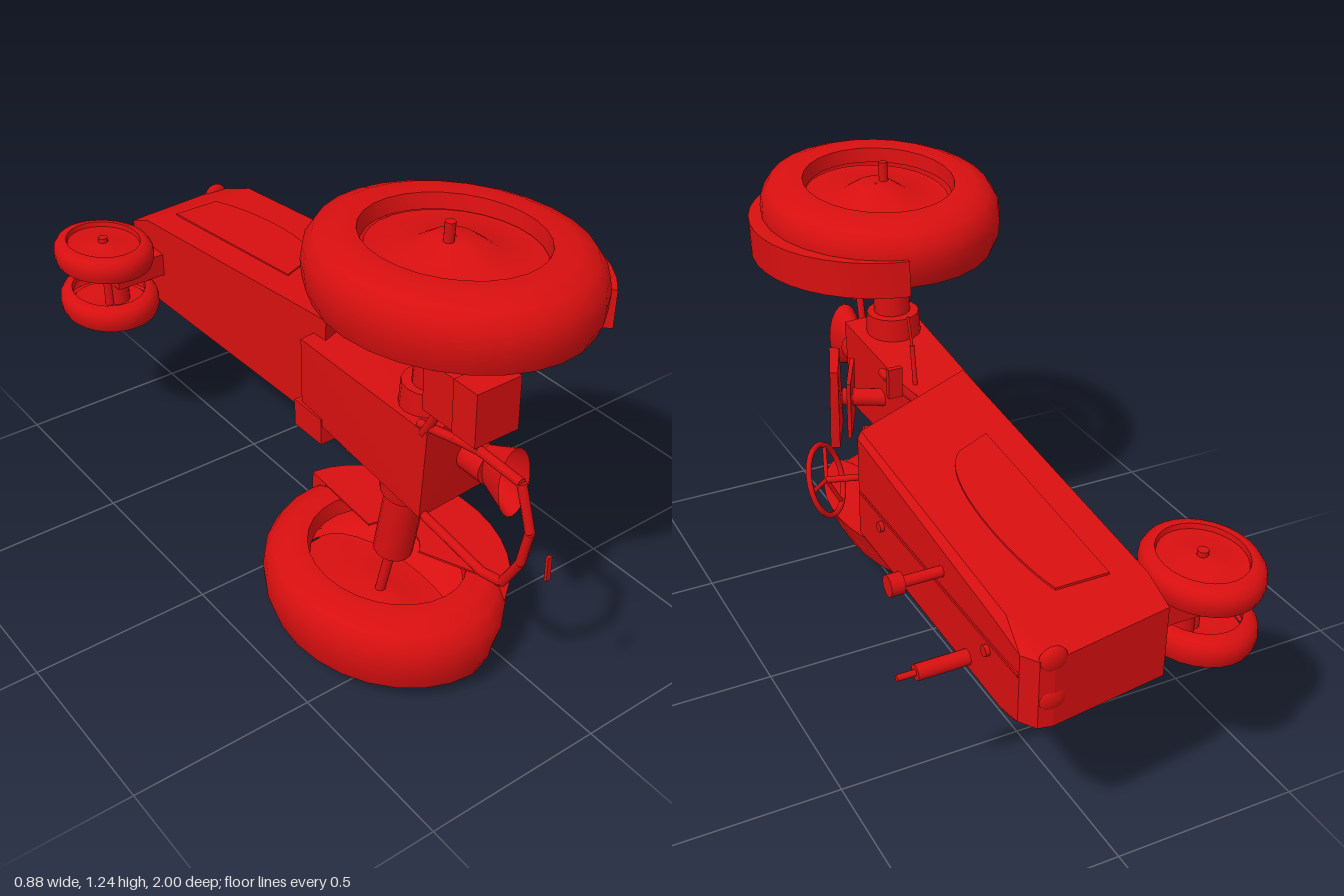
import * as THREE from 'three';
import { toCreasedNormals } from 'three/addons/utils/BufferGeometryUtils.js';
import { ConvexGeometry } from 'three/addons/geometries/ConvexGeometry.js';

const V = (x, y, z) => new THREE.Vector3(x, y, z);

export function createModel() {
  const group = new THREE.Group();
  const red = new THREE.MeshStandardMaterial({ color: 0xd80f10, side: THREE.DoubleSide });
  red.name = 'red paint';

  const add = (name, geometry) => {
    const mesh = new THREE.Mesh(geometry, red);
    mesh.name = name;
    group.add(mesh);
    return mesh;
  };
  // Box given by its lower and upper corners
  const box = (name, a, b) => add(name, new THREE.BoxGeometry(b[0] - a[0], b[1] - a[1], b[2] - a[2])
    .translate((a[0] + b[0]) / 2, (a[1] + b[1]) / 2, (a[2] + b[2]) / 2));
  // Round bar between two points
  const bar = (name, a, b, r0, r1 = r0, sides = 16) => {
    const p = V(...a), q = V(...b), d = q.clone().sub(p);
    const m = add(name, new THREE.CylinderGeometry(r1, r0, d.length(), sides));
    m.position.copy(p).add(q).multiplyScalar(0.5);
    m.quaternion.setFromUnitVectors(V(0, 1, 0), d.normalize());
    return m;
  };
  const hull = (name, pts) => add(name, new ConvexGeometry(pts.map(p => V(...p))));

  // Squeeze the lower wheel and fender on their +x side, more towards the ground
  const squash = g => {
    const p = g.attributes.position, cx = -0.135;
    for (let i = 0; i < p.count; i++) {
      const x = p.getX(i), k = (0.235 - p.getY(i)) / 0.195;
      if (x > cx) p.setX(i, cx + (x - cx) * (0.9 - 0.5 * k * k));
    }
    return g;
  };

  // Wheels: oval tyre shells, open underneath, with dished discs
  const tyre = [[0.88, -1], [0.95, -0.92], [0.99, -0.5], [1, 0], [0.985, 0.4], [0.92, 0.8], [0.8, 1]];
  const wheel = (name, c, R, w, tilt, hole, disc, lower) => {
    const build = (part, pts, dx, dz) => {
      const g = new THREE.LatheGeometry(pts.map(([r, y]) => new THREE.Vector2(r * R, y * w)), 28)
        .scale(0.84, 1, 1).rotateZ(tilt[0]).rotateX(tilt[1]).translate(c[0] + dx, c[1], c[2] + dz);
      add(name + part, toCreasedNormals(lower ? squash(g) : g, 0.8));
    };
    build('Tyre', [...tyre, [hole, 0.97], [hole - 0.02, 0.5]], 0, 0);
    build('Disc', [[disc.r, disc.y], [0.3, disc.y], [0.15, disc.hub], [0.01, disc.hub]], disc.dx, disc.dz);
  };
  wheel('upperRearWheel', [-0.073, 1.11, 0.493], 0.387, 0.086, [-0.03, -0.035], 0.63,
    { r: 0.6, y: 0.45, hub: 0.85, dx: 0.01, dz: -0.005 });
  wheel('lowerRearWheel', [-0.135, 0.137, 0.357], 0.371, 0.095, [0, 0], 0.64,
    { r: 0.77, y: -0.8, hub: -0.7, dx: 0.01, dz: -0.02 }, true);
  wheel('upperFrontWheel', [-0.288, 0.642, -0.83], 0.168, 0.037, [-0.03, -0.02], 0.74,
    { r: 0.72, y: 0.6, hub: 0.8, dx: 0, dz: 0 });
  wheel('lowerFrontWheel', [-0.288, 0.49, -0.82], 0.168, 0.037, [0.02, 0], 0.74,
    { r: 0.78, y: -0.6, hub: -0.7, dx: 0, dz: 0 });

  // Fenders: arched segments over the tyres, with a flat inner plate
  const fender = (rIn, rOut, from, to, depth) => {
    const s = new THREE.Shape();
    for (let i = 0; i <= 14; i++) {
      const t = from + (to - from) * i / 14;
      s[i ? 'lineTo' : 'moveTo'](rOut[0] * Math.cos(t), rOut[1] * Math.sin(t));
    }
    for (let i = 14; i >= 0; i--) {
      const t = from + (to - from) * i / 14;
      s.lineTo(rIn[0] * Math.cos(t), rIn[1] * Math.sin(t));
    }
    return new THREE.ExtrudeGeometry(s, { depth, bevelEnabled: false }).rotateX(-Math.PI / 2);
  };
  const upperPart = (name, rIn, rOut, from, to, y, depth) => add(name, toCreasedNormals(
    fender(rIn, rOut, from, to, depth).rotateZ(-0.03).translate(-0.07, y, 0.487), 0.7));
  const lowerPart = (name, rIn, rOut, from, to, y, depth) => add(name, toCreasedNormals(
    squash(fender(rIn, rOut, from, to, depth).translate(-0.13, y, 0.348)), 0.7));
  upperPart('upperFender', [0.31, 0.34], [0.36, 0.385], -0.85, 1.35, 1.005, 0.1);
  upperPart('upperFenderPlate', [0.08, 0.08], [0.32, 0.345], -0.85, 1.35, 1.005, 0.006);
  lowerPart('lowerFender', [0.24, 0.3], [0.31, 0.368], -1.0, 1.5, 0.13, 0.105);
  lowerPart('lowerFenderPlate', [0.09, 0.09], [0.25, 0.31], -1.0, 1.5, 0.229, 0.006);

  // Rear axle
  bar('upperAxleHousing', [-0.1, 0.72, 0.465], [-0.093, 1.02, 0.485], 0.052);
  bar('upperAxleFlange', [-0.1, 0.72, 0.465], [-0.098, 0.8, 0.465], 0.08, 0.075);
  bar('upperAxleShaft', [-0.093, 1.0, 0.486], [-0.09, 1.236, 0.5], 0.013);
  bar('lowerAxleHousing', [-0.112, 0.5, 0.41], [-0.122, 0.225, 0.36], 0.053);
  bar('lowerAxleFlange', [-0.112, 0.5, 0.41], [-0.114, 0.44, 0.4], 0.075, 0.07);
  bar('lowerAxleShaft', [-0.122, 0.24, 0.36], [-0.145, 0.003, 0.318], 0.014);

  // Gearbox body
  hull('gearbox', [
    [-0.2, 0.485, 0.555], [-0.2, 0.745, 0.575], [0.01, 0.49, 0.545], [0.01, 0.74, 0.57],
    [-0.17, 0.5, 0.02], [-0.17, 0.715, 0.02], [0.015, 0.5, 0.0], [0.015, 0.715, 0.0]]);
  box('lowerChassis', [-0.18, 0.44, 0.0], [-0.02, 0.52, 0.12]);

  // Seat: slanted pad with a backing plate, carried on a post
  hull('seatPad', [
    [0.18, 0.5, 0.29], [0.175, 0.735, 0.29], [0.1, 0.49, 0.45], [0.11, 0.73, 0.45],
    [0.155, 0.5, 0.28], [0.155, 0.735, 0.28], [0.08, 0.49, 0.435], [0.085, 0.73, 0.435]]);
  hull('seatPlate', [
    [0.135, 0.53, 0.27], [0.135, 0.7, 0.27], [0.06, 0.53, 0.42], [0.06, 0.7, 0.42],
    [0.125, 0.53, 0.265], [0.125, 0.7, 0.265], [0.05, 0.53, 0.41], [0.05, 0.7, 0.41]]);
  bar('seatPost', [0.0, 0.615, 0.3], [0.11, 0.615, 0.36], 0.025);

  // Power shaft and flared guard
  bar('powerShaft', [-0.05, 0.62, 0.55], [-0.05, 0.62, 0.64], 0.045);
  const guard = add('shaftGuard', new THREE.CylinderGeometry(0.1, 0.055, 0.095, 20, 1, true)
    .rotateX(Math.PI / 2).scale(0.5, 1, 1));
  guard.position.set(-0.05, 0.625, 0.672);

  // Hitch frame behind the gearbox
  const framePts = [[0.745, 0.53], [0.775, 0.66], [0.79, 0.74], [0.785, 0.88], [0.67, 0.917], [0.57, 0.895],
    [0.475, 0.84], [0.458, 0.77], [0.49, 0.53]];
  for (let i = 1; i < framePts.length; i++)
    bar('hitchFrame', [-0.185, ...framePts[i - 1]], [-0.185, ...framePts[i]], 0.012, 0.012, 8);
  box('hitchPin', [-0.207, 0.6, 0.992], [-0.195, 0.665, 1.0]);

  // Toolbox pair beside the upper axle
  box('toolboxRear', [-0.21, 0.81, 0.67], [-0.08, 0.955, 0.75]);
  box('toolboxFront', [-0.205, 0.81, 0.56], [-0.085, 0.95, 0.665]);
  bar('toolboxBracket', [-0.19, 0.73, 0.55], [-0.19, 0.82, 0.6], 0.012, 0.012, 8);

  // Hood: tapered body with a slanted back and softened nose
  hull('hood', [
    [-0.125, 0.445, 0.06], [-0.125, 0.778, 0.07], [0.245, 0.438, -0.088], [0.245, 0.757, -0.085],
    [0.257, 0.46, -0.09], [0.257, 0.74, -0.09],
    [-0.125, 0.422, -0.88], [-0.125, 0.682, -0.85], [0.24, 0.422, -0.88], [0.24, 0.682, -0.85],
    [0.257, 0.445, -0.86], [0.257, 0.66, -0.84],
    [-0.125, 0.455, -0.94], [-0.125, 0.645, -0.94], [0.19, 0.455, -0.982], [0.19, 0.635, -0.982],
    [0.225, 0.455, -0.975], [0.225, 0.635, -0.975], [0.255, 0.46, -0.94], [0.255, 0.64, -0.94]]);
  box('hoodRidge', [0.254, 0.583, -0.94], [0.26, 0.59, -0.1]);
  for (const y of [0.525, 0.63]) {
    const lamp = add('noseLamp', new THREE.SphereGeometry(0.04, 16, 10));
    lamp.scale.set(0.9, 0.8, 0.4);
    lamp.position.set(0.19, y, -0.97);
  }

  // Raised side panels following the taper of the hood
  const panel = new THREE.Shape();
  panel.moveTo(-0.04, -0.82);
  panel.lineTo(0.1, -0.82);
  panel.bezierCurveTo(0.14, -0.7, 0.16, -0.35, 0.06, -0.27);
  panel.lineTo(-0.04, -0.225);
  panel.closePath();
  for (const upper of [true, false]) {
    const g = new THREE.ExtrudeGeometry(panel, { depth: 0.009, bevelEnabled: false, curveSegments: 16 });
    const p = g.attributes.position;
    for (let i = 0; i < p.count; i++) {
      const z = p.getY(i), d = p.getZ(i) - 0.002;
      const t = (z - 0.07) / -0.92;
      p.setXYZ(i, p.getX(i), upper ? 0.774 - 0.093 * t + d : 0.444 - 0.023 * t - d, z);
    }
    // Keep the faces of the upper panel pointing outwards
    if (upper) for (let i = 0; i < p.count; i += 3) {
      const a = V().fromBufferAttribute(p, i), b = V().fromBufferAttribute(p, i + 2);
      p.setXYZ(i, b.x, b.y, b.z);
      p.setXYZ(i + 2, a.x, a.y, a.z);
    }
    g.computeVertexNormals();
    add('hoodSidePanel', g);
  }

  // Stacks and small caps on the hood
  bar('exhaustPipe', [0.25, 0.475, -0.705], [0.437, 0.475, -0.705], 0.008);
  bar('exhaustMuffler', [0.25, 0.475, -0.705], [0.39, 0.475, -0.705], 0.02);
  bar('intakePipe', [0.25, 0.63, -0.57], [0.39, 0.63, -0.57], 0.014);
  bar('intakeCap', [0.36, 0.63, -0.57], [0.395, 0.63, -0.57], 0.027);
  for (const z of [-0.8, -0.235]) bar('hoodCap', [0.25, 0.56, z], [0.268, 0.56, z], 0.014);

  // Front axle
  bar('frontAxleBeam', [-0.255, 0.46, -0.82], [-0.255, 0.65, -0.82], 0.03);
  box('frontAxleBracket', [-0.28, 0.53, -0.87], [-0.11, 0.6, -0.77]);
  bar('frontAxleShaft', [-0.288, 0.435, -0.82], [-0.288, 0.685, -0.83], 0.014);

  // Steering wheel, spokes and column
  const c = V(0.272, 0.52, 0.1), normal = V(0.68, -0.32, 0.62).normalize();
  const steer = add('steeringWheel', new THREE.TorusGeometry(0.097, 0.008, 8, 24));
  steer.position.copy(c);
  steer.quaternion.setFromUnitVectors(V(0, 0, 1), normal);
  for (let i = 0; i < 3; i++) {
    const a = i * Math.PI * 2 / 3;
    const tip = V(Math.cos(a) * 0.097, Math.sin(a) * 0.097, 0).applyQuaternion(steer.quaternion).add(c);
    bar('steeringSpoke', c.toArray(), tip.toArray(), 0.006, 0.006, 8);
  }
  bar('steeringColumn', [0.13, 0.57, -0.03], c.toArray(), 0.009, 0.009, 10);

  // Pedals and levers
  box('upperPedal', [0.06, 0.745, 0.06], [0.1, 0.83, 0.075]);
  bar('upperPedalArm', [0.0, 0.7, 0.08], [0.08, 0.78, 0.12], 0.012, 0.012, 8);
  bar('upperPedalCross', [0.07, 0.77, 0.07], [0.07, 0.77, 0.17], 0.012, 0.012, 8);
  box('lowerPedal', [0.0, 0.34, 0.0], [0.028, 0.39, 0.08]);
  box('pedalPlateRear', [-0.06, 0.4, 0.1], [-0.02, 0.56, 0.14]);
  box('pedalPlateFront', [-0.04, 0.38, 0.04], [0.03, 0.56, 0.07]);
  bar('pedalArm', [-0.04, 0.5, 0.15], [-0.04, 0.33, 0.06], 0.014, 0.014, 8);
  bar('gearLever', [0.0, 0.6, 0.09], [0.14, 0.63, 0.12], 0.007, 0.007, 8);
  bar('gearKnob', [0.13, 0.628, 0.118], [0.15, 0.632, 0.122], 0.014);
  bar('handLever', [-0.02, 0.72, 0.15], [-0.02, 0.83, 0.17], 0.007, 0.007, 8);
  bar('handLeverTip', [-0.02, 0.83, 0.17], [-0.02, 0.905, 0.195], 0.004, 0.004, 8);

  return group;
}
